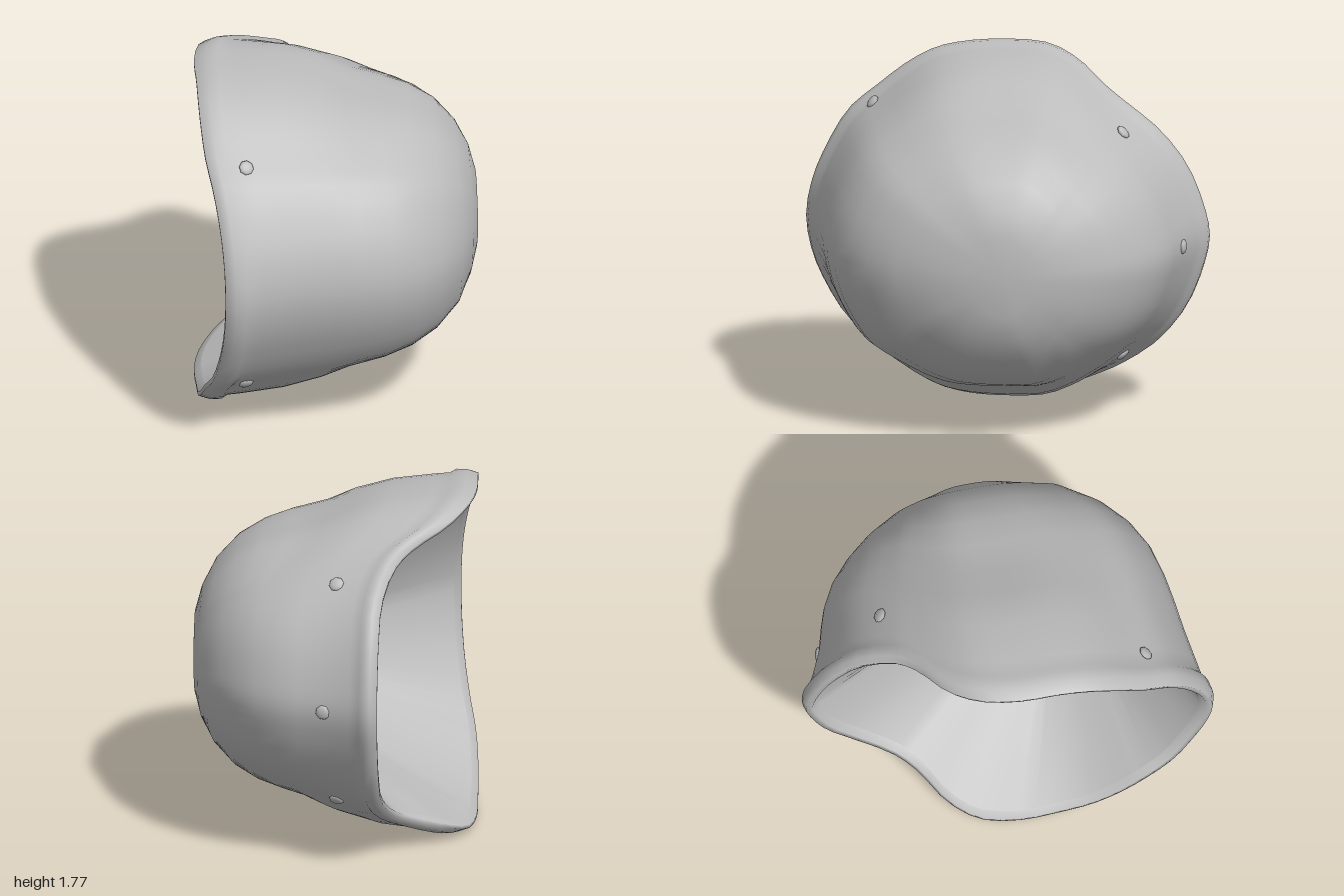
import * as THREE from 'three';

const N = 72;           // points around each ring
const CY = 0.885;       // height of the dome axis (runs along x)
const TIP = 0.7;        // x of the crown

// Rim outline for one half: z, height above the axis, x
const RIM = [
  [1, 0, -0.6], [0.97, 0.185, -0.605], [0.9, 0.355, -0.62], [0.79, 0.535, -0.65],
  [0.65, 0.65, -0.68], [0.5, 0.765, -0.695], [0.36, 0.84, -0.7], [0.2, 0.875, -0.7],
  [0, 0.885, -0.7], [-0.2, 0.875, -0.66], [-0.35, 0.815, -0.56], [-0.47, 0.735, -0.4],
  [-0.57, 0.67, -0.315], [-0.75, 0.535, -0.25], [-0.89, 0.355, -0.235],
  [-0.975, 0.14, -0.23], [-1, 0, -0.23],
];

// Eight-sided lining floor, one half: z, height above the axis, x
const FLOOR = [
  [0.62, 0, -0.08], [0.505, 0.343, -0.075], [0.25, 0.515, -0.05],
  [0.02, 0.4, 0.12], [-0.19, 0, 0.14],
];

// Depth stations from crown to rim, with radius fractions of three meridians
const U = [0, 0.005, 0.03, 0.08, 0.16, 0.25, 0.35, 0.47, 0.57, 0.7, 0.85, 0.9, 0.922, 0.96, 1];
const FRONT = [0, 0.19, 0.345, 0.535, 0.68, 0.78, 0.847, 0.885, 0.905, 0.925, 0.955, 0.965, 0.99, 1, 0.985];
const SIDE = [0, 0.226, 0.37, 0.51, 0.635, 0.71, 0.757, 0.808, 0.893, 0.955, 0.977, 0.98, 0.998, 0.993, 0.972];
const BACK = [0, 0.16, 0.285, 0.435, 0.56, 0.66, 0.742, 0.803, 0.835, 0.87, 0.935, 0.965, 0.993, 1, 0.988];

// Full loop of points from a half outline
function mirrorLoop(half) {
  const other = half.slice(1, -1).reverse().map(([z, h, x]) => [z, -h, x]);
  return [...half, ...other].map(([z, h, x]) => new THREE.Vector3(x, h, z));
}

// Closed rim curve, each sample as radius, direction and x
function rimSamples() {
  const curve = new THREE.CatmullRomCurve3(mirrorLoop(RIM), true);
  return Array.from({ length: N }, (_, j) => {
    const p = curve.getPoint(j / N);
    const r = Math.hypot(p.y, p.z);
    return { r, x: p.x, ny: p.y / r, nz: p.z / r };
  });
}

const at = (s, r, x) => new THREE.Vector3(x, CY + s.ny * r, s.nz * r);

// Radius fraction at station k: ear bulge on the sides, plain dome elsewhere
function fraction(s, k) {
  const ear = s.ny ** 4;
  const m = THREE.MathUtils.clamp(0.5 + s.nz * 0.7, 0, 1);
  const dome = BACK[k] + (FRONT[k] - BACK[k]) * m;
  return dome + (SIDE[k] - dome) * ear;
}

// Outer surface point for any x along one meridian
function surfacePoint(s, x) {
  const u = (TIP - x) / (TIP - s.x);
  let k = 0;
  while (k < U.length - 2 && U[k + 1] < u) k++;
  const t = (u - U[k]) / (U[k + 1] - U[k]);
  return at(s, s.r * THREE.MathUtils.lerp(fraction(s, k), fraction(s, k + 1), t), x);
}

// Indexed geometry with smooth normals
function toGeometry(points, idx) {
  const g = new THREE.BufferGeometry().setFromPoints(points);
  g.setIndex(idx);
  g.computeVertexNormals();
  return g;
}

// Skin closed rings; an optional crown point closes the first one
function loft(rings, crown) {
  const points = rings.flat(), idx = [];
  for (let i = 0; i < rings.length - 1; i++) {
    for (let j = 0; j < N; j++) {
      const a = i * N + j, b = i * N + (j + 1) % N;
      idx.push(a, b, a + N, b, b + N, a + N);
    }
  }
  if (crown) {
    const c = points.push(crown) - 1;
    for (let j = 0; j < N; j++) idx.push(c, (j + 1) % N, j);
  }
  return toGeometry(points, idx);
}

export function createModel() {
  const group = new THREE.Group();
  const grey = new THREE.MeshStandardMaterial({ color: 0xbcbcbc });
  grey.name = 'shell grey';
  const add = (name, geometry) => {
    const mesh = new THREE.Mesh(geometry, grey);
    mesh.name = name;
    group.add(mesh);
    return mesh;
  };

  const rim = rimSamples();

  // Outer shell with its rolled lip
  const rings = U.slice(1).map((u, i) =>
    rim.map(s => at(s, s.r * fraction(s, i + 1), TIP + (s.x - TIP) * u)));
  rings.push(rim.map(s => at(s, s.r * 0.955, s.x)));
  const inner = rim.map(s => at(s, s.r * 0.925, s.x + 0.035));
  rings.push(inner);
  add('shell', loft(rings, new THREE.Vector3(TIP, CY, 0)));

  // Lining: wall tapering to a tilted floor that is fanned from its back corner
  const corners = mirrorLoop(FLOOR).map(p => p.setY(p.y + CY));
  const sides = corners.length;
  const floorRing = rim.map((_, j) => {
    const t = j / N * sides, k = Math.floor(t);
    return corners[k].clone().lerp(corners[(k + 1) % sides], t - k);
  });
  add('liningWall', loft([inner, floorRing]));
  const back = sides / 2, fan = [];
  for (let i = 1; i < sides - 1; i++) fan.push(back, (back + i) % sides, (back + i + 1) % sides);
  add('liningFloor', toGeometry(corners, fan));

  // Rivets: height above axis, z, x
  const rivets = [[0, -0.875, 0.04]];
  for (const side of [1, -1]) rivets.push([0.605 * side, 0.68, -0.48], [0.575 * side, -0.585, -0.02]);
  for (const [h, z, x] of rivets) {
    const r = Math.hypot(h, z);
    const near = rim.reduce((best, s) =>
      s.ny * h + s.nz * z > best.ny * h + best.nz * z ? s : best);
    const s = { ...near, ny: h / r, nz: z / r };
    const rivet = add('rivet', new THREE.SphereGeometry(0.038, 8, 6));
    rivet.position.copy(surfacePoint(s, x));
    rivet.scale.set(1, 0.4, 1);
    rivet.quaternion.setFromUnitVectors(
      new THREE.Vector3(0, 1, 0), new THREE.Vector3(0.25, s.ny, s.nz).normalize());
  }
  return group;
}
